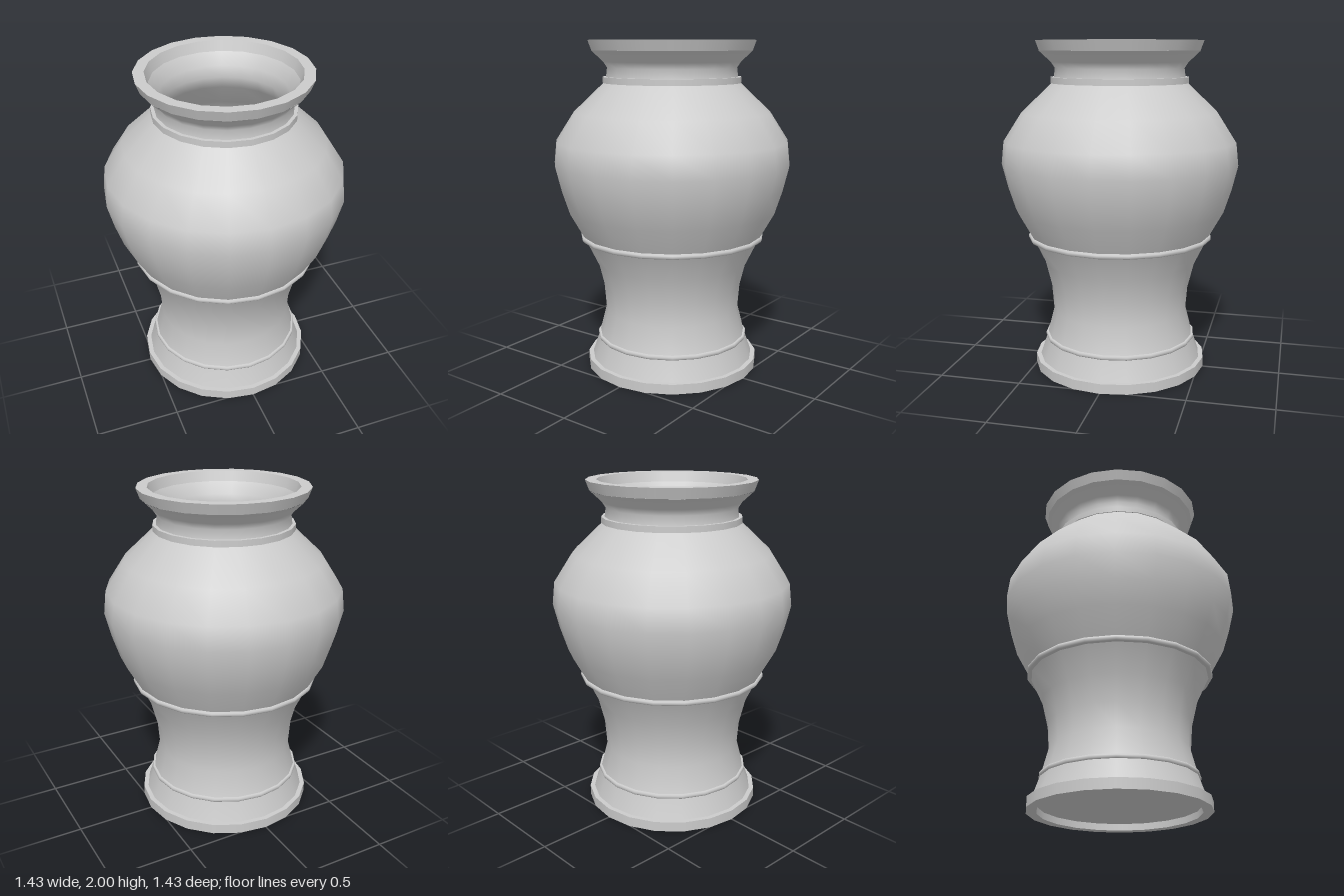
import * as THREE from 'three';
import { mergeGeometries } from 'three/addons/utils/BufferGeometryUtils.js';

const SIDES = 20;
const material = new THREE.MeshStandardMaterial({ color: 0xcccccc });

// Smooth surface of revolution through [radius, height] points
const turn = (points) =>
  new THREE.LatheGeometry(points.map(([r, y]) => new THREE.Vector2(r, y)), SIDES);

// Surface of revolution with a sharp edge at every profile point
const turnSharp = (points) =>
  mergeGeometries(points.slice(1).map((p, i) => turn([points[i], p])));

export function createModel() {
  const vase = new THREE.Group();
  vase.name = 'vase';
  const add = (name, geometry) => {
    const mesh = new THREE.Mesh(geometry, material);
    mesh.name = name;
    vase.add(mesh);
  };

  // Foot: flat ring around a recessed underside
  add('foot', turnSharp([[0, 0.04], [0.47, 0.04], [0.47, 0], [0.53, 0], [0.53, 0.06], [0.49, 0.06]]));

  // Outer wall from foot to shoulder
  add('body', turn([
    [0.502, 0.06], [0.457, 0.19], [0.414, 0.36], [0.426, 0.51], [0.463, 0.66], [0.54, 0.82],
    [0.635, 0.99], [0.68, 1.13], [0.715, 1.275], [0.7, 1.41], [0.59, 1.58], [0.405, 1.755],
  ]));

  // Raised bands
  const bead = (r, y, h, out) => turn([
    [r - 0.02, y - h], [r + out * 0.6, y - h], [r + out, y - h * 0.4],
    [r + out, y + h * 0.4], [r + out * 0.6, y + h], [r - 0.02, y + h],
  ]);
  add('lowerBand', bead(0.455, 0.193, 0.013, 0.012));
  add('waistBand', bead(0.545, 0.827, 0.015, 0.018));
  add('collar', turnSharp([[0.37, 1.752], [0.414, 1.752], [0.414, 1.788], [0.37, 1.788]]));

  // Flared neck and lip
  add('neck', turn([[0.394, 1.785], [0.387, 1.84], [0.41, 1.875], [0.48, 1.94]]));
  add('lip', turnSharp([[0.478, 1.94], [0.5, 2], [0.437, 2], [0.417, 1.94]]));

  // Hollow inside
  add('innerWall', turn([
    [0.417, 1.94], [0.365, 1.87], [0.355, 1.8], [0.37, 1.73], [0.54, 1.55], [0.64, 1.4],
    [0.655, 1.275], [0.575, 0.99], [0.48, 0.82], [0.4, 0.66], [0.365, 0.51], [0.35, 0.36], [0.29, 0.1],
  ]));
  add('innerFloor', turn([[0.29, 0.1], [0, 0.1]]));

  return vase;
}
